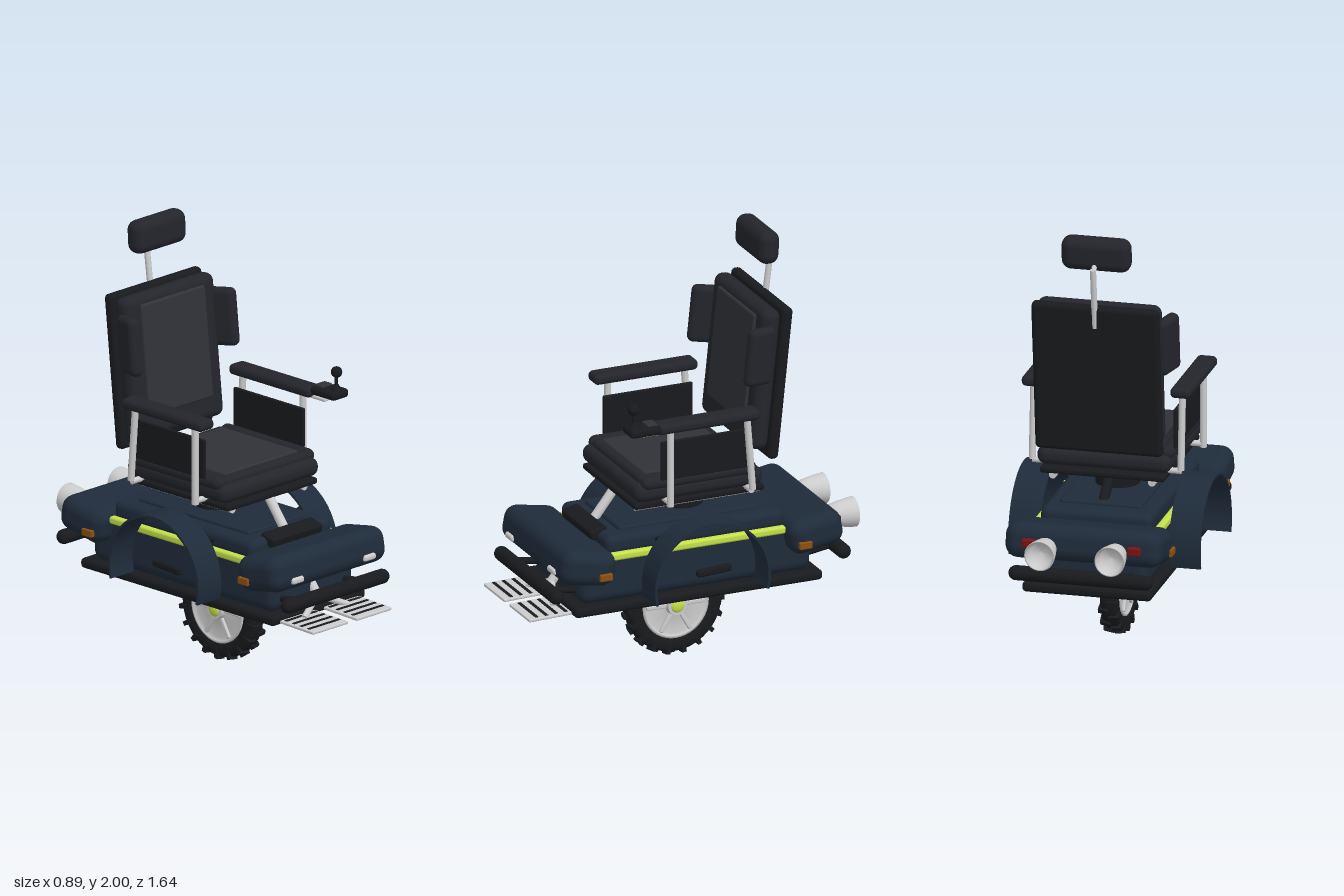
import * as THREE from 'three';
import { RoundedBoxGeometry } from 'three/addons/geometries/RoundedBoxGeometry.js';

const mat = (color, side = THREE.FrontSide) => new THREE.MeshStandardMaterial({ color, side });
const NAVY = mat(0x1e2b3a), NAVY2 = mat(0x1e2b3a, THREE.DoubleSide), BLACK = mat(0x191a1d), PAD = mat(0x23252b);
const PANEL = mat(0x303238), GREY = mat(0xcccccc), GREY2 = mat(0xcccccc, THREE.DoubleSide);
const LIME = mat(0xc4e04a), AMBER = mat(0x8a5010), RED = mat(0x7a1216);

export function createModel() {
  const root = new THREE.Group();
  root.name = 'poweredChair';

  const add = (name, geo, m, pos = [0, 0, 0], rot = [0, 0, 0], parent = root) => {
    const mesh = new THREE.Mesh(geo, m);
    mesh.name = name;
    mesh.position.set(...pos);
    mesh.rotation.set(...rot);
    parent.add(mesh);
    return mesh;
  };
  const rbox = (w, h, d, r) => new RoundedBoxGeometry(w, h, d, 4, Math.min(r, w * 0.49, h * 0.49, d * 0.49));
  const box = (name, size, r, m, pos, rot, parent) => add(name, rbox(...size, r), m, pos, rot, parent);
  // straight round bar between two points
  const bar = (name, a, b, r, m, parent = root) => {
    const p = new THREE.Vector3(...a), q = new THREE.Vector3(...b);
    const mesh = add(name, new THREE.CylinderGeometry(r, r, p.distanceTo(q), 16), m, [0, 0, 0], [0, 0, 0], parent);
    mesh.position.copy(p).lerp(q, 0.5);
    mesh.quaternion.setFromUnitVectors(new THREE.Vector3(0, 1, 0), q.sub(p).normalize());
    return mesh;
  };
  const lathe = (pts, n = 40) => new THREE.LatheGeometry(pts.map(p => new THREE.Vector2(...p)), n);

  // Single central wheel, axle along x
  const wheel = new THREE.Group();
  wheel.name = 'wheel';
  wheel.position.y = 0.24;
  root.add(wheel);
  add('tyre', lathe([[0.155, -0.03], [0.18, -0.041], [0.21, -0.04], [0.227, -0.028], [0.231, 0],
    [0.227, 0.028], [0.21, 0.04], [0.18, 0.041], [0.155, 0.03]], 48), BLACK, [0, 0, 0], [0, 0, -Math.PI / 2], wheel);
  for (let i = 0; i < 36; i++) {
    const a = i / 36 * Math.PI * 2, s = i % 2 ? 1 : -1;
    const lug = new THREE.Group();
    lug.rotation.x = a;
    wheel.add(lug);
    add('treadLug', new THREE.BoxGeometry(0.046, 0.02, 0.02), BLACK, [s * 0.021, 0.23, 0], [0, 0, -s * 0.15], lug);
    add('treadShoulder', new THREE.BoxGeometry(0.012, 0.035, 0.02), BLACK, [s * 0.04, 0.212, 0], [0, 0, 0], lug);
  }
  for (const s of [-1, 1]) {
    const side = new THREE.Group();
    side.name = 'wheelFace';
    side.rotation.z = -s * Math.PI / 2;
    wheel.add(side);
    add('rimDisc', lathe([[0.162, 0.02], [0.162, 0.038], [0.15, 0.04], [0.14, 0.024], [0.05, 0.03], [0.045, 0.045], [0, 0.045]]), GREY2, [0, 0, 0], [0, 0, 0], side);
    for (let i = 0; i < 6; i++) {
      const spoke = new THREE.Group();
      spoke.rotation.y = i * Math.PI / 3;
      side.add(spoke);
      box('spoke', [0.02, 0.016, 0.11], 0.005, GREY, [0, 0.034, 0.09], [0, 0, 0], spoke);
    }
    add('hub', new THREE.CylinderGeometry(0.045, 0.05, 0.025, 32), GREY, [0, 0.045, 0], [0, 0, 0], side);
    add('hubCap', new THREE.SphereGeometry(0.032, 24, 12, 0, Math.PI * 2, 0, Math.PI / 2).scale(1, 0.4, 1), LIME, [0, 0.057, 0], [0, 0, 0], side);
  }

  // Chassis and body
  box('chassisPlate', [0.6, 0.048, 1.22], 0.02, BLACK, [0, 0.377, 0]);
  box('body', [0.54, 0.25, 1.14], 0.05, NAVY, [0, 0.52, 0]);
  box('bodyDeck', [0.52, 0.09, 0.88], 0.035, NAVY, [0, 0.66, 0]);
  box('deckTop', [0.38, 0.03, 0.7], 0.012, NAVY, [0, 0.705, 0]);
  box('hoodPad', [0.32, 0.05, 0.085], 0.012, BLACK, [0, 0.69, 0.432], [0.25, 0, 0]);

  for (const e of [1, -1]) {
    // Front and rear pods with bumpers
    box(e > 0 ? 'frontPod' : 'rearPod', [0.73, 0.165, 0.265], 0.06, NAVY, [0, 0.6, e * 0.56], [-e * 0.18, 0, 0]);
    add('bumper', new THREE.CapsuleGeometry(0.034, 0.6, 8, 20), BLACK, [0, 0.478, e * 0.707], [0, 0, Math.PI / 2]);
    for (const s of [1, -1]) {
      box('sideMarker', [0.03, 0.034, 0.062], 0.005, AMBER, [s * 0.362, 0.562, e * 0.492]);
      bar('bumperBracket', [s * 0.2, 0.45, e * 0.52], [s * 0.2, 0.478, e * 0.7], 0.015, BLACK);
    }
  }

  const thruster = lathe([[0.0, 0], [0.038, 0.004], [0.05, 0.018], [0.057, 0.05], [0.066, 0.1], [0.07, 0.135], [0.064, 0.135], [0.052, 0.09], [0, 0.08]], 32);
  const fenderShape = new THREE.Shape();
  fenderShape.absarc(0, 0, 0.285, -0.25, Math.PI + 0.25, false);
  fenderShape.absarc(0, 0, 0.274, Math.PI + 0.25, -0.25, true);
  const fender = new THREE.ExtrudeGeometry(fenderShape, { depth: 0.146, bevelEnabled: false, curveSegments: 40 });
  fender.translate(0, 0, -0.073);

  for (const s of [1, -1]) {
    box('headlight', [0.075, 0.03, 0.03], 0.012, GREY, [s * 0.23, 0.582, 0.693]);
    box('tailLight', [0.06, 0.04, 0.03], 0.008, RED, [s * 0.245, 0.618, -0.695]);
    add('thruster', thruster, GREY2, [s * 0.163, 0.603, -0.685], [-Math.PI / 2, 0, 0]);
    add('fender', fender, NAVY2, [s * 0.373, 0.485, 0], [0, Math.PI / 2, 0]);
    bar('fenderMount', [s * 0.25, 0.66, 0.19], [s * 0.31, 0.68, 0.19], 0.012, BLACK);
    box('trimStrip', [0.036, 0.036, 0.86], 0.012, LIME, [s * 0.278, 0.62, 0]);
    box('sideHandle', [0.03, 0.036, 0.17], 0.012, BLACK, [s * 0.276, 0.475, -0.08], [0.06, 0, 0]);
    box('releaseLever', [0.016, 0.012, 0.035], 0.004, LIME, [s * 0.272, 0.655, 0.085], [0.3, 0, 0]);
  }

  // Seat pedestal and frame
  add('pedestal', new THREE.CylinderGeometry(0.1, 0.1, 0.08, 32), BLACK, [0, 0.75, -0.04]);
  add('pedestalNeck', new THREE.CylinderGeometry(0.07, 0.07, 0.05, 32), GREY, [0, 0.81, -0.04]);
  bar('rearStrut', [0, 0.81, -0.17], [0, 0.68, -0.33], 0.024, BLACK);
  box('seatPlate', [0.58, 0.03, 0.64], 0.012, BLACK, [0, 0.842, -0.005]);
  for (const s of [1, -1]) bar('seatRail', [s * 0.23, 0.822, 0.29], [s * 0.23, 0.822, -0.32], 0.018, GREY);

  // Seat cushions
  box('seatCushion', [0.62, 0.085, 0.63], 0.038, PAD, [0, 0.903, 0]);
  box('seatUpperCushion', [0.54, 0.06, 0.56], 0.025, PAD, [0, 0.945, 0]);
  box('seatPanel', [0.47, 0.03, 0.48], 0.01, PANEL, [0, 0.968, 0.005]);
  for (const s of [1, -1])
    add('seatBolster', new THREE.CapsuleGeometry(0.032, 0.5, 8, 16), PAD, [s * 0.285, 0.948, 0], [Math.PI / 2, 0, 0]);

  // Reclined back
  const back = new THREE.Group();
  back.name = 'backrest';
  back.position.set(0, 1.325, -0.405);
  back.rotation.x = -0.105;
  root.add(back);
  box('backShell', [0.59, 0.72, 0.052], 0.022, BLACK, [0, 0, 0], [0, 0, 0], back);
  box('backCushion', [0.575, 0.665, 0.09], 0.04, PAD, [0, 0.015, 0.07], [0, 0, 0], back);
  box('backPanel', [0.41, 0.52, 0.035], 0.012, PANEL, [0, 0.047, 0.11], [0, 0, 0], back);
  for (const s of [1, -1])
    box('sideSupport', [0.06, 0.27, 0.145], 0.028, PAD, [s * 0.298, 0.14, 0.125], [0, s * 0.32, 0], back);

  // Headrest
  bar('headrestPost', [0, 1.58, -0.448], [0, 1.865, -0.485], 0.014, GREY);
  bar('headrestArm', [0, 1.85, -0.483], [0, 1.9, -0.43], 0.012, GREY);
  box('headrest', [0.32, 0.155, 0.1], 0.045, PAD, [0, 1.922, -0.418], [-0.06, 0, 0]);

  // Armrests
  for (const s of [1, -1]) {
    const x = s * 0.345;
    box('armPad', [0.095, 0.05, 0.51], 0.022, PAD, [x, 1.233, -0.01]);
    bar('frontArmPost', [x, 0.845, 0.165], [x, 1.22, 0.165], 0.016, GREY);
    bar('rearArmPost', [x, 0.865, -0.24], [x, 1.22, -0.212], 0.016, GREY);
    box('skirtPanel', [0.016, 0.185, 0.44], 0.006, BLACK, [s * 0.317, 1.058, -0.02]);
    for (const z of [0.165, -0.235]) bar('armPostMount', [s * 0.26, 0.86, z], [x, 0.86, z], 0.014, GREY);
  }

  // Joystick on the left arm
  box('joystickBracket', [0.03, 0.015, 0.12], 0.005, GREY, [0.345, 1.21, 0.255]);
  box('joystickBox', [0.105, 0.042, 0.155], 0.018, BLACK, [0.365, 1.245, 0.312]);
  box('joystickScreen', [0.065, 0.015, 0.05], 0.005, PANEL, [0.365, 1.267, 0.275]);
  add('joystickBoot', new THREE.CylinderGeometry(0.012, 0.028, 0.025, 20), BLACK, [0.365, 1.275, 0.353]);
  bar('joystickStem', [0.365, 1.265, 0.353], [0.365, 1.345, 0.357], 0.008, BLACK);
  add('joystickKnob', new THREE.SphereGeometry(0.026, 20, 14), BLACK, [0.365, 1.348, 0.357]);

  // Leg support and slatted footplates
  bar('legTube', [0, 0.84, 0.28], [0, 0.42, 0.605], 0.022, GREY);
  for (const s of [1, -1]) {
    bar('legFork', [0, 0.435, 0.595], [s * 0.14, 0.37, 0.65], 0.015, GREY);
    const plate = new THREE.Group();
    plate.name = 'footplate';
    plate.position.set(s * 0.14, 0.365, 0.705);
    plate.rotation.x = 0.03;
    root.add(plate);
    box('footPanel', [0.225, 0.014, 0.225], 0.005, GREY, [0, 0, 0], [0, 0, 0], plate);
    for (let i = 0; i < 4; i++)
      box('gripStrip', [0.2, 0.006, 0.016], 0.002, BLACK, [0, 0.007, -0.075 + i * 0.048], [0, 0, 0], plate);
  }
  return root;
}
